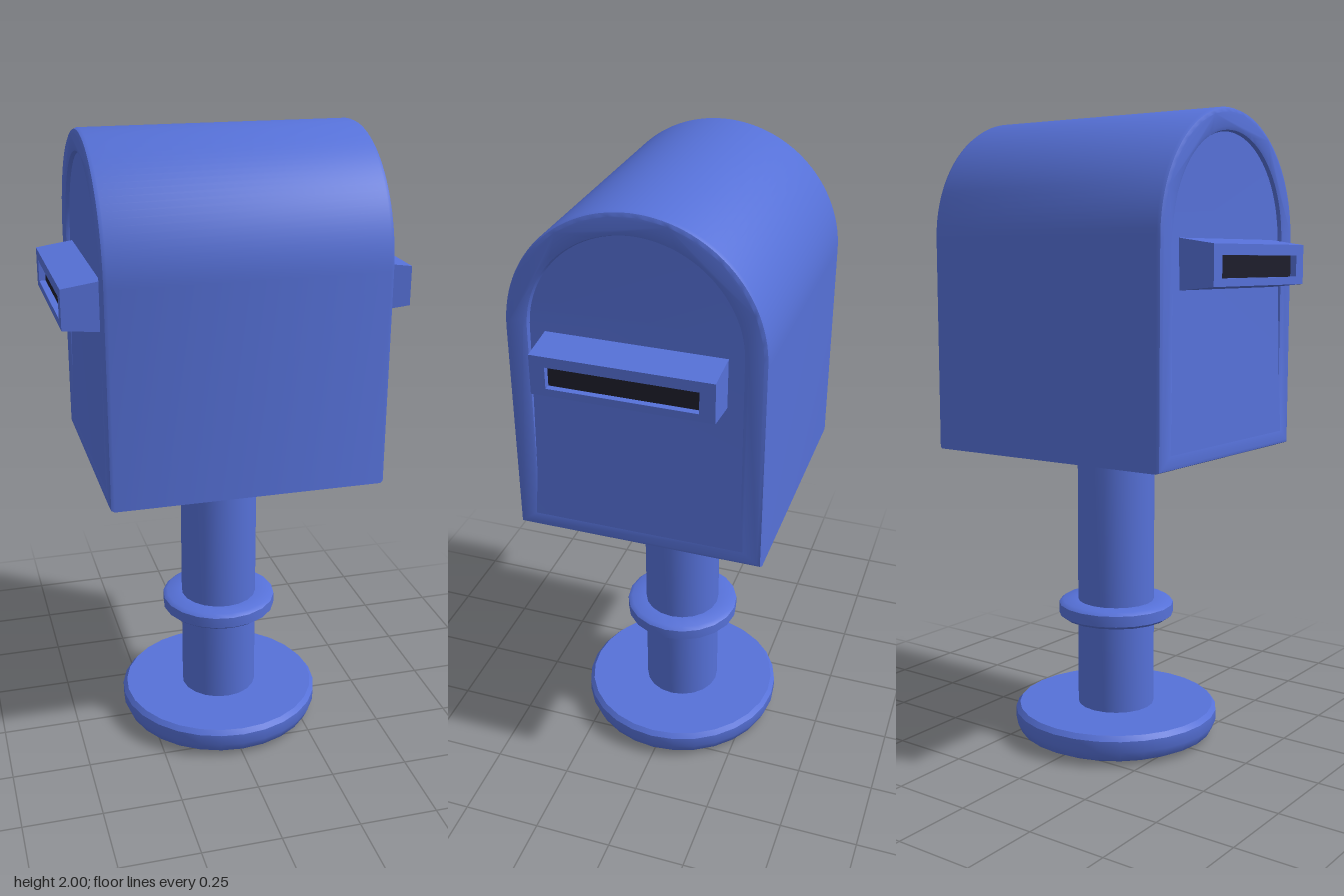
import * as THREE from 'three';
import { toCreasedNormals } from 'three/addons/utils/BufferGeometryUtils.js';

const blue = new THREE.MeshStandardMaterial({ color: 0x5671d8 });
blue.name = 'postBlue';
const dark = new THREE.MeshStandardMaterial({ color: 0x1e1e2c });
dark.name = 'slotDark';

// Arched outline: straight sides up to the spring line, then a half ellipse
function arch(Type, halfWidth, bottom, spring, top) {
  const s = new Type();
  s.moveTo(-halfWidth, bottom);
  s.lineTo(halfWidth, bottom);
  s.lineTo(halfWidth, spring);
  s.absellipse(0, spring, halfWidth, top - spring, 0, Math.PI, false);
  s.closePath();
  return s;
}

function rect(Type, halfWidth, bottom, top) {
  const s = new Type();
  s.moveTo(-halfWidth, bottom);
  s.lineTo(halfWidth, bottom);
  s.lineTo(halfWidth, top);
  s.lineTo(-halfWidth, top);
  s.closePath();
  return s;
}

export function createModel() {
  const model = new THREE.Group();
  model.name = 'mailbox';

  const add = (name, geometry, material, parent = model) => {
    const mesh = new THREE.Mesh(geometry, material);
    mesh.name = name;
    parent.add(mesh);
    return mesh;
  };
  const turned = (name, profile, segments) => {
    const points = profile.map(([r, y]) => new THREE.Vector2(r, y));
    add(name, toCreasedNormals(new THREE.LatheGeometry(points, segments), 0.7), blue);
  };

  // Stand: base disc, post and collar
  turned('base', [[0, 0], [0.29, 0.005], [0.32, 0.02], [0.333, 0.05], [0.333, 0.085], [0.32, 0.1], [0, 0.1]], 28);
  turned('post', [[0.125, 0.09], [0.125, 0.97]], 20);
  turned('collar', [[0.12, 0.395], [0.175, 0.395], [0.188, 0.405], [0.188, 0.44], [0.175, 0.45], [0.12, 0.45]], 20);

  // Arched body, whose hollow ends are closed by the panels below
  const outline = arch(THREE.Shape, 0.38, 0.96, 1.62, 2);
  outline.holes.push(arch(THREE.Path, 0.31, 1.02, 1.62, 1.93));
  const bevel = 0.014;
  const body = new THREE.ExtrudeGeometry(outline, {
    depth: 0.85 - 2 * bevel, curveSegments: 28,
    bevelThickness: bevel, bevelSize: bevel, bevelOffset: -bevel, bevelSegments: 2,
  });
  body.translate(0, 0, -0.425 + bevel);
  body.rotateY(Math.PI / 2);
  add('body', toCreasedNormals(body, 0.6), blue);

  for (const side of [1, -1]) {
    const end = new THREE.Group();
    end.name = side > 0 ? 'leftEnd' : 'rightEnd';
    end.rotation.y = side * Math.PI / 2;
    model.add(end);

    // End panel, flush at the bottom and sinking in towards the top
    const panel = new THREE.ShapeGeometry(arch(THREE.Shape, 0.324, 1.005, 1.62, 1.944), 28);
    const p = panel.attributes.position;
    for (let i = 0; i < p.count; i++) {
      p.setZ(i, 0.425 - 0.016 * THREE.MathUtils.smoothstep(p.getY(i), 1.0, 1.62));
    }
    panel.computeVertexNormals();
    add('endPanel', panel, blue, end);

    // Slot hood, narrowing a little in height towards its mouth
    const frame = rect(THREE.Shape, 0.265, 1.47, 1.62);
    frame.holes.push(rect(THREE.Path, 0.22, 1.505, 1.57));
    const hood = new THREE.ExtrudeGeometry(frame, { depth: 0.125, bevelEnabled: false });
    const h = hood.attributes.position;
    for (let i = 0; i < h.count; i++) {
      if (h.getZ(i) < 0.06) continue;
      const y = h.getY(i);
      if (y > 1.6) h.setY(i, 1.602);
      else if (y < 1.49) h.setY(i, 1.482);
    }
    hood.translate(0, 0, 0.4);
    hood.computeVertexNormals();
    add('slotHood', hood, blue, end);

    // Dark opening
    const slot = new THREE.PlaneGeometry(0.45, 0.075);
    slot.translate(0, 1.5375, 0.505);
    add('slotOpening', slot, dark, end);
  }

  return model;
}
